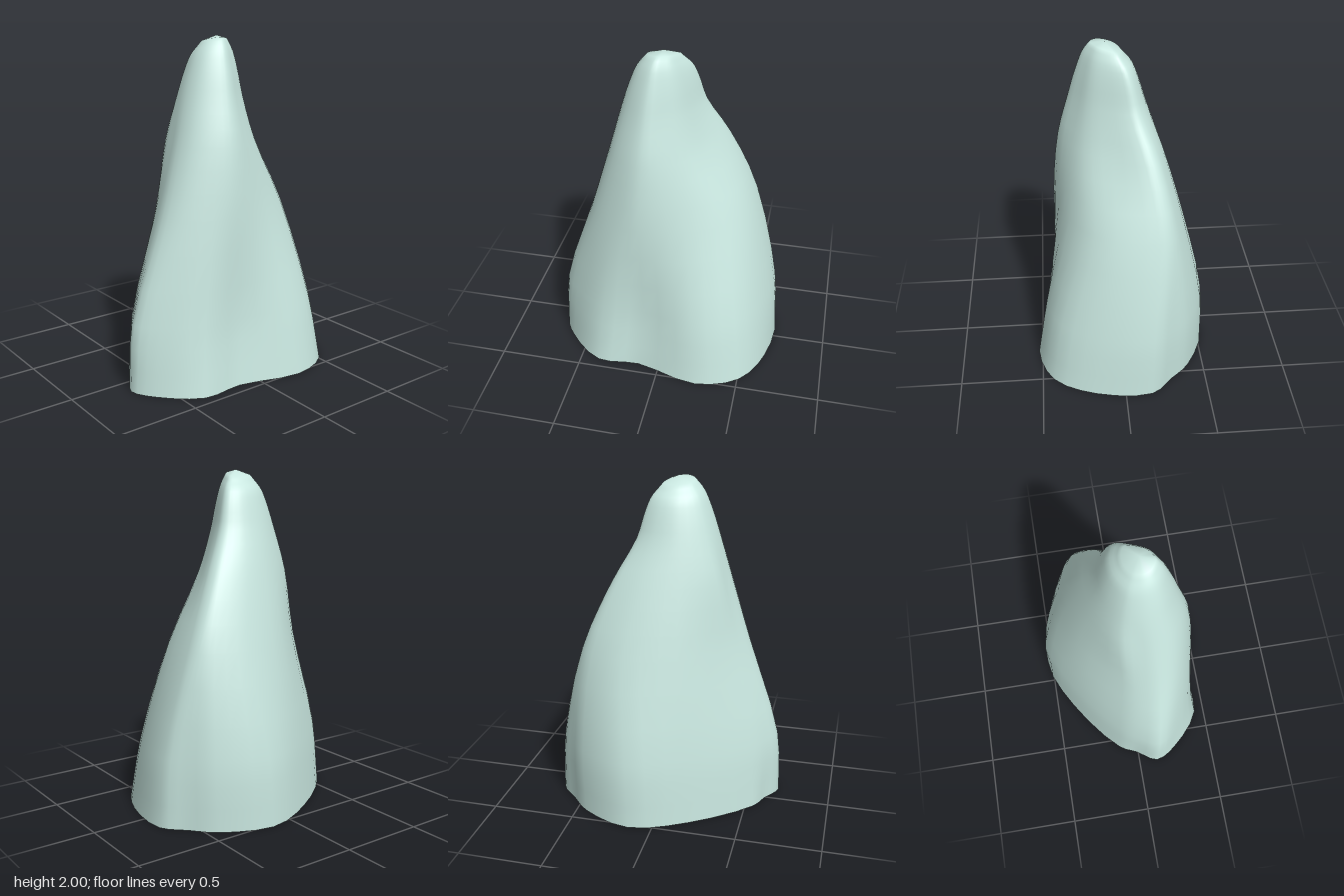
import * as THREE from 'three';

// Cross-sections [x, z], going left tip -> front -> right -> back
const sections = [
  { y: 0, ring: [[-.68, .12], [-.605, .26], [-.385, .44], [-.13, .43], [.25, .525], [.51, .43], [.645, .18], [.67, -.16], [.56, -.285], [.44, -.41], [.14, -.53], [-.20, -.395], [-.55, -.12], [-.605, -.01]] },
  { y: .4, ring: [[-.655, .13], [-.56, .25], [-.35, .39], [-.10, .385], [.21, .455], [.46, .37], [.60, .13], [.645, -.17], [.56, -.285], [.45, -.40], [.16, -.51], [-.18, -.37], [-.51, -.11], [-.60, .01]] },
  { y: 1, ring: [[-.46, .14], [-.41, .25], [-.27, .35], [-.12, .385], [.14, .33], [.35, .21], [.46, .04], [.495, -.20], [.47, -.27], [.40, -.32], [.20, -.37], [-.10, -.30], [-.37, -.07], [-.43, .03]] },
  { y: 1.4, ring: [[-.34, .12], [-.31, .22], [-.21, .31], [-.10, .345], [.03, .29], [.15, .20], [.24, .05], [.32, -.13], [.31, -.19], [.27, -.22], [.12, -.25], [-.09, -.21], [-.29, -.08], [-.325, .03]] },
  { y: 1.65, ring: [[-.27, .10], [-.245, .18], [-.17, .25], [-.09, .28], [0, .235], [.08, .175], [.14, .07], [.185, -.05], [.185, -.09], [.16, -.12], [.07, -.155], [-.08, -.145], [-.22, -.06], [-.26, .02]] },
];

// Rounded tip: the last section shrunk towards the peak
const peak = [-.03, .07];
const neck = sections[sections.length - 1].ring;
for (const [y, s] of [[1.8, .8], [1.9, .62], [1.97, .38]]) {
  sections.push({ y, ring: neck.map(p => p.map((v, k) => peak[k] + (v - peak[k]) * s)) });
}

function rockGeometry(cols, rows) {
  // Smooth each section around, then each column upwards
  const loops = sections.map(({ y, ring }) =>
    new THREE.CatmullRomCurve3(ring.map(([x, z]) => new THREE.Vector3(x, y, z)), true));
  const positions = [];
  const index = [];
  for (let i = 0; i < cols; i++) {
    const column = new THREE.CatmullRomCurve3(loops.map(loop => loop.getPoint(i / cols)));
    for (let j = 0; j <= rows; j++) {
      const p = column.getPoint(j / rows);
      // the tip rises slightly towards the front
      const lift = THREE.MathUtils.smoothstep(p.y, 1.85, 1.97) * (p.z - peak[1]) * .2;
      positions.push(p.x, p.y + lift, p.z);
    }
  }
  const apex = positions.length / 3;
  positions.push(peak[0], 1.995, peak[1]);
  const at = (i, j) => (i % cols) * (rows + 1) + j;
  for (let i = 0; i < cols; i++) {
    for (let j = 0; j < rows; j++) {
      index.push(at(i, j), at(i + 1, j), at(i + 1, j + 1));
      index.push(at(i, j), at(i + 1, j + 1), at(i, j + 1));
    }
    index.push(at(i, rows), at(i + 1, rows), apex);
  }
  const geometry = new THREE.BufferGeometry();
  geometry.setAttribute('position', new THREE.Float32BufferAttribute(positions, 3));
  geometry.setIndex(index);
  geometry.computeVertexNormals();
  return geometry;
}

export function createModel() {
  const group = new THREE.Group();
  group.name = 'rock';
  // Hollow shell, open underneath
  const shell = new THREE.Mesh(
    rockGeometry(42, 21),
    new THREE.MeshStandardMaterial({ color: 0xc8e6df, side: THREE.DoubleSide }),
  );
  shell.name = 'rockShell';
  group.add(shell);
  return group;
}
